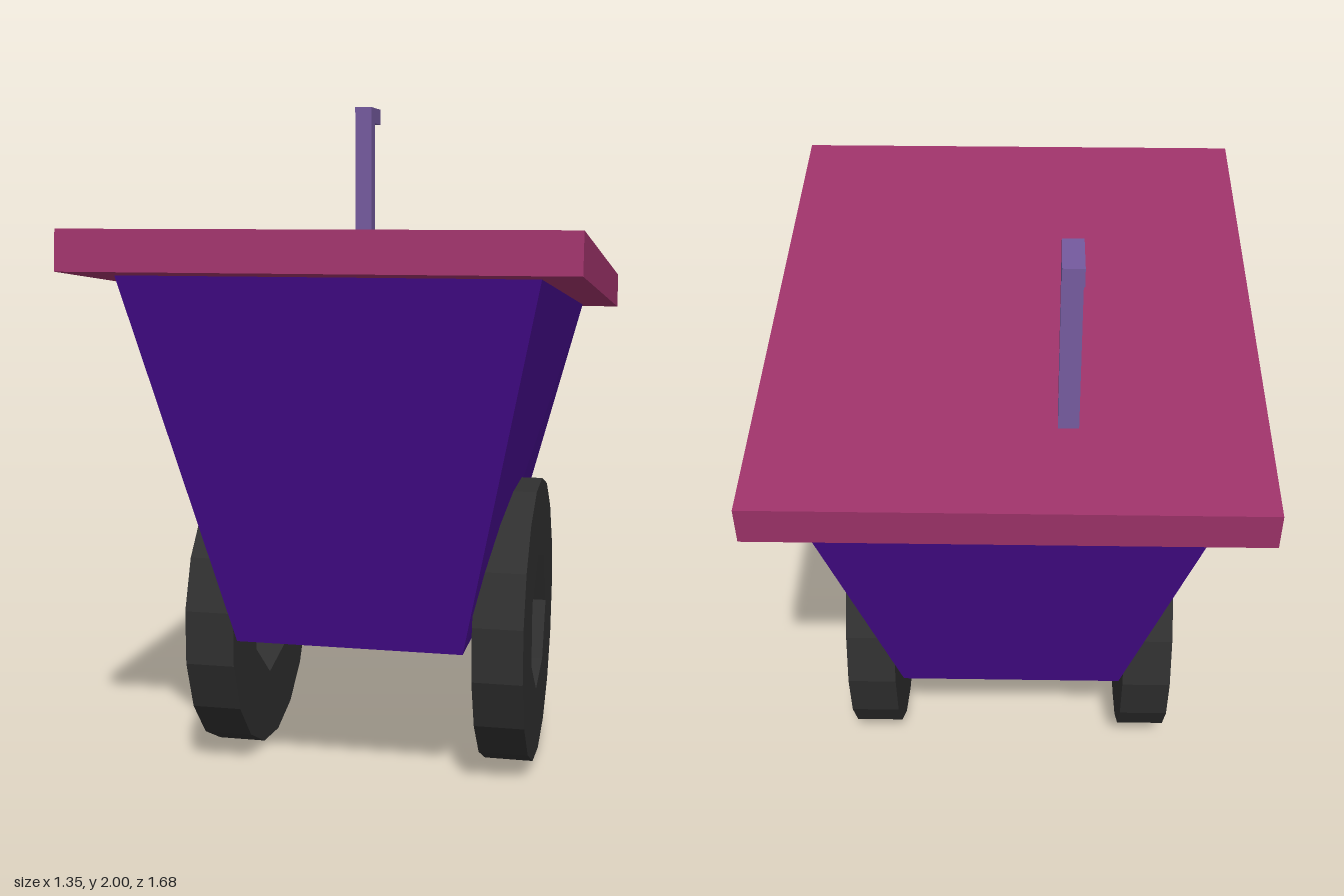
import * as THREE from 'three';

const paint = (color) => new THREE.MeshStandardMaterial({ color, flatShading: true });

function addPart(parent, name, geometry, material, x = 0, y = 0, z = 0) {
  const mesh = new THREE.Mesh(geometry, material);
  mesh.name = name;
  mesh.position.set(x, y, z);
  parent.add(mesh);
  return mesh;
}

// Regular polygon whose first corner lies on +x
function polygon(Type, sides, radius) {
  const points = [];
  for (let i = 0; i < sides; i++) {
    const a = (i / sides) * Math.PI * 2;
    points.push(new THREE.Vector2(Math.cos(a) * radius, Math.sin(a) * radius));
  }
  return new Type(points);
}

// Tapered tub: box corners moved to a small base and a wide sloping rim
function binGeometry() {
  const geometry = new THREE.BoxGeometry(1, 1, 1);
  const p = geometry.attributes.position;
  for (let i = 0; i < p.count; i++) {
    const sx = Math.sign(p.getX(i));
    const front = p.getZ(i) > 0;
    if (p.getY(i) > 0) p.setXYZ(i, sx * 0.565, front ? 1.5 : 1.35, front ? 0.71 : -0.71);
    else p.setXYZ(i, sx * 0.33, 0.43, front ? 0.425 : -0.415);
  }
  geometry.computeVertexNormals();
  return geometry;
}

export function createModel() {
  const group = new THREE.Group();
  group.name = 'wheeledBin';

  const tyre = paint(0x2f2f2f);
  const metal = paint(0x745a9e);

  addPart(group, 'binBody', binGeometry(), paint(0x460b8e));

  // Lid slab, raised at the front
  const lid = addPart(group, 'lid', new THREE.BoxGeometry(1.35, 0.11, 1.68), paint(0x9e336a), 0, 1.475, 0);
  lid.rotation.x = -0.107;

  // Wheels: 17-sided rings with 7-sided holes
  const ring = polygon(THREE.Shape, 17, 0.43);
  ring.holes.push(polygon(THREE.Path, 7, 0.215));
  const wheel = new THREE.ExtrudeGeometry(ring, { depth: 0.145, bevelEnabled: false });
  wheel.rotateY(Math.PI / 2);
  addPart(group, 'leftWheel', wheel, tyre, 0.355, 0.43, 0);
  addPart(group, 'rightWheel', wheel, tyre, -0.487, 0.43, 0);

  // Hooked handle: one L-shaped bar standing on the lid
  const hook = new THREE.Shape([
    [0.475, 1.42], [0.53, 1.42], [0.53, 1.95], [0.62, 1.95], [0.62, 2], [0.475, 2],
  ].map(([a, b]) => new THREE.Vector2(a, b)));
  const handle = new THREE.ExtrudeGeometry(hook, { depth: 0.055, bevelEnabled: false });
  handle.rotateY(Math.PI / 2);
  addPart(group, 'handle', handle, metal, -0.18, 0, 0);

  return group;
}
